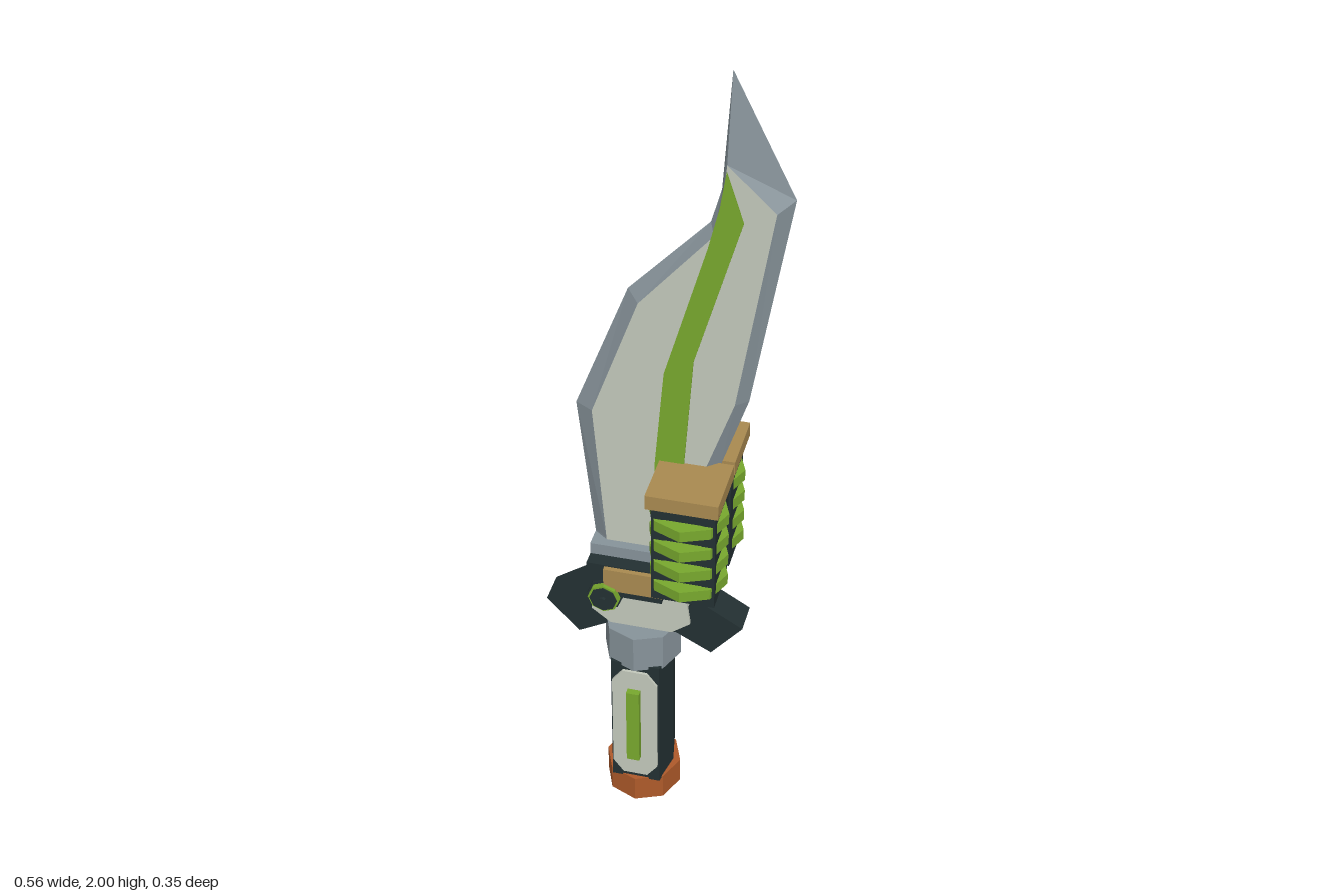
import * as THREE from 'three';

const mat = (name, color) => {
  const m = new THREE.MeshStandardMaterial({ color });
  m.name = name;
  return m;
};

export function createModel() {
  const root = new THREE.Group();
  root.name = 'knife';
  const white = mat('pale metal', 0xc3c8bb);
  const grey = mat('grey steel', 0x87939a);
  const dark = mat('dark metal', 0x233032);
  const green = mat('glowing green', 0x78a82e);
  const tan = mat('tan brass', 0xa98a50);
  const orange = mat('copper orange', 0xae5a2a);

  const add = (name, geometry, material, x = 0, y = 0, z = 0, parent = root) => {
    const m = new THREE.Mesh(geometry, material);
    m.name = name;
    m.position.set(x, y, z);
    parent.add(m);
    return m;
  };
  // box given by its limits
  const box = (name, x0, x1, y0, y1, z0, z1, material, parent = root) =>
    add(name, new THREE.BoxGeometry(x1 - x0, y1 - y0, z1 - z0), material,
      (x0 + x1) / 2, (y0 + y1) / 2, (z0 + z1) / 2, parent);
  const octagon = (r, h) => new THREE.CylinderGeometry(r, r, h, 8).toNonIndexed();
  const flat = (g) => { g.computeVertexNormals(); return g; };
  // outline in x and y, extruded evenly about z = 0
  const slab = (points, half) => {
    const shape = new THREE.Shape(points.map(([x, y]) => new THREE.Vector2(x, y)));
    return new THREE.ExtrudeGeometry(shape, { depth: 2 * half, bevelEnabled: false })
      .translate(0, 0, -half);
  };

  // blade: sharp outer outline at z = 0, raised inner outline on both sides
  const outer = [[-0.165, 0.7], [0.065, 0.7], [0.13, 1.02], [0.192, 1.21], [0.278, 1.725],
    [0.14, 2], [0.122, 1.73], [0.1, 1.65], [-0.08, 1.46], [-0.203, 1.14], [-0.165, 0.78]];
  const inner = [[-0.135, 0.7], [0.04, 0.7], [0.1, 1.02], [0.165, 1.21], [0.243, 1.7],
    [0.137, 1.8], [0.129, 1.71], [0.112, 1.63], [-0.052, 1.44], [-0.16, 1.14], [-0.132, 0.78]];
  const T = 0.025;
  const bevel = [], face = [];
  const tri = (list, s, a, b, c) => list.push(...a, ...(s > 0 ? b : c), ...(s > 0 ? c : b));
  const faces = THREE.ShapeUtils.triangulateShape(inner.map(([x, y]) => new THREE.Vector2(x, y)), []);
  for (const s of [1, -1]) {
    const o = outer.map(([x, y]) => [x, y, 0]);
    const n = inner.map(([x, y]) => [x, y, s * T]);
    o.forEach((p, i) => {
      const j = (i + 1) % o.length;
      tri(bevel, s, p, o[j], n[j]);
      tri(bevel, s, p, n[j], n[i]);
    });
    faces.forEach(([a, b, c]) => tri(face, s, n[a], n[b], n[c]));
  }
  const fromList = (list) => {
    const g = new THREE.BufferGeometry();
    g.setAttribute('position', new THREE.Float32BufferAttribute(list, 3));
    return flat(g);
  };
  add('bladeEdge', fromList(bevel), grey);
  add('bladeFaces', fromList(face), white);
  add('bladeStripe', slab([[-0.02, 0.8], [0.03, 0.8], [0.052, 1.02], [0.072, 1.31], [0.175, 1.67],
    [0.137, 1.785], [0.124, 1.7], [0.1, 1.6], [0.006, 1.27], [-0.015, 1.02]], T + 0.004), green);

  // pommel and collar
  add('pommel', flat(octagon(0.094, 0.07)), [orange, orange, dark], -0.052, 0.035);
  add('collar', flat(octagon(0.094, 0.1)), grey, -0.052, 0.487);

  // six-sided grip with inlaid panels
  const grip = slab([[0.076, 0], [0.06, 0.08], [-0.06, 0.08], [-0.076, 0], [-0.06, -0.08], [0.06, -0.08]], 0.19);
  add('grip', grip.rotateX(Math.PI / 2), dark, -0.052, 0.255);
  add('gripPanels', slab([[-0.082, 0.085], [-0.022, 0.085], [0.004, 0.12], [0.004, 0.39], [-0.022, 0.425],
    [-0.082, 0.425], [-0.108, 0.39], [-0.108, 0.12]], 0.087), white);
  box('gripLights', -0.069, -0.037, 0.148, 0.37, -0.104, 0.104, green);

  // swept guard with a pale centre block
  add('guard', slab([[-0.28, 0.575], [-0.2, 0.49], [-0.12, 0.535], [0.04, 0.535], [0.125, 0.49],
    [0.2, 0.58], [0.09, 0.645], [0.06, 0.61], [-0.16, 0.61], [-0.165, 0.655]], 0.04), dark);
  add('guardBlock', slab([[-0.165, 0.575], [-0.12, 0.54], [0.03, 0.54], [0.075, 0.575],
    [0.065, 0.65], [0.065, 0.735], [-0.145, 0.735], [-0.165, 0.65]], 0.048), white);
  box('guardBracket', -0.165, 0.0, 0.735, 0.775, -0.048, 0.048, grey);

  for (const s of [1, -1]) {
    const side = new THREE.Group();
    side.name = s > 0 ? 'frontFittings' : 'backFittings';
    root.add(side);
    const sideBox = (name, x0, x1, y0, y1, z0, z1, m) =>
      box(name, x0, x1, y0, y1, Math.min(s * z0, s * z1), Math.max(s * z0, s * z1), m, side);

    // latch and its bolt
    sideBox('latchBase', -0.165, 0.015, 0.655, 0.745, 0.04, 0.083, dark);
    sideBox('latchPlate', -0.122, 0.02, 0.68, 0.742, 0.07, 0.095, tan);
    const bolt = (name, r, z0, z1, m) => add(name,
      flat(octagon(r, z1 - z0).rotateX(Math.PI / 2)), m, -0.12, 0.66, s * (z0 + z1) / 2, side);
    bolt('boltBase', 0.043, 0.05, 0.09, dark);
    bolt('boltRing', 0.038, 0.09, 0.104, green);
    bolt('boltFace', 0.033, 0.104, 0.107, dark);
    bolt('boltPin', 0.009, 0.107, 0.115, dark);

    // power cell: dark case, glowing rings, brass lid
    const cx = 0.079, cz = 0.083;
    sideBox('cellCore', 0.012, 0.146, 0.73, 0.985, 0.016, 0.133, dark);
    for (const x of [0.005, 0.123]) {
      for (const z of [0.012, 0.113]) sideBox('cellPost', x, x + 0.03, 0.722, 0.995, z, z + 0.028, dark);
    }
    for (let i = 0; i < 5; i++) {
      const y = 0.722 + i * 0.0585;
      sideBox('cellRib', 0.005, 0.153, y, y + 0.029, 0.012, 0.141, dark);
    }
    for (let i = 0; i < 4; i++) {
      add('cellRing', flat(octagon(0.092, 0.028)), green, cx, 0.7655 + i * 0.0585, s * cz, side);
    }
    sideBox('cellLid', -0.004, 0.163, 0.995, 1.032, 0.005, 0.162, tan);
  }
  return root;
}
